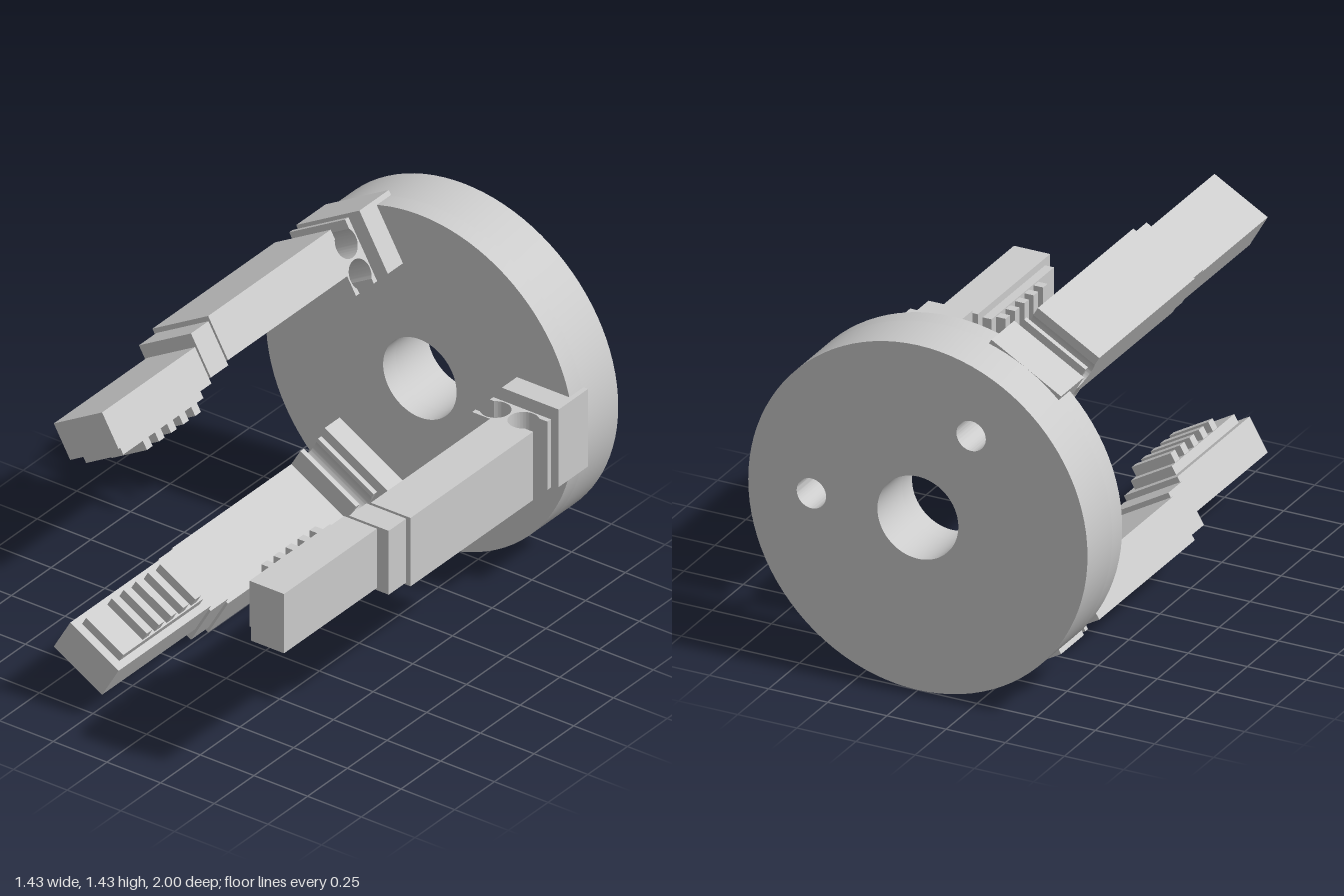
import * as THREE from 'three';
import { toCreasedNormals } from 'three/addons/utils/BufferGeometryUtils.js';

const R = 0.717;
const material = new THREE.MeshStandardMaterial({ color: 0xcccccc });

function add(parent, name, geometry) {
  const mesh = new THREE.Mesh(geometry, material);
  mesh.name = name;
  parent.add(mesh);
  return mesh;
}

// Box given by its x range, z range and half width in y
function block(parent, name, x0, x1, z0, z1, half) {
  const mesh = add(parent, name, new THREE.BoxGeometry(x1 - x0, half * 2, z1 - z0));
  mesh.position.set((x0 + x1) / 2, 0, (z0 + z1) / 2);
}

function extrude(shape, depth, curveSegments) {
  const geometry = new THREE.ExtrudeGeometry(shape, { depth, curveSegments, bevelEnabled: false });
  return toCreasedNormals(geometry, 0.5);
}

// Ring-shaped slice of the palm disc, with extra round holes [x, y, radius]
function discSlice(holes, z0, z1) {
  const shape = new THREE.Shape().absarc(0, 0, R, 0, Math.PI * 2);
  for (const [x, y, r] of holes) {
    shape.holes.push(new THREE.Path().absarc(x, y, r, 0, Math.PI * 2, true));
  }
  return extrude(shape, z1 - z0, 48).translate(0, 0, z0);
}

// Flexure hinge: two plates joined by a thin web between two round notches
function hingeGeometry() {
  const x0 = 0.447, x1 = 0.715, z0 = -0.578, z1 = -0.445;
  const c = (z0 + z1) / 2, r = 0.06, h = 0.045, a = Math.asin(h / r);
  const shape = new THREE.Shape();
  shape.moveTo(x0, z0);
  shape.lineTo(x1, z0);
  shape.lineTo(x1, c - h);
  shape.absarc(0.637, c, r, -a, a, true);
  shape.lineTo(x1, c + h);
  shape.lineTo(x1, z1);
  shape.lineTo(x0, z1);
  shape.lineTo(x0, c + h);
  shape.absarc(0.507, c, r, Math.PI - a, Math.PI + a, true);
  shape.lineTo(x0, c - h);
  shape.closePath();
  return extrude(shape, 0.3, 24).rotateX(Math.PI / 2).translate(0, 0.15, 0);
}

// One finger, placed along +x and reaching towards +z
function createFinger() {
  const finger = new THREE.Group();
  finger.name = 'finger';
  block(finger, 'fingerMount', 0.452, 0.717, -0.81, -0.625, 0.17);
  add(finger, 'flexureHinge', hingeGeometry());
  block(finger, 'lowerSegment', 0.53, 0.715, -0.445, 0.305, 0.15);
  block(finger, 'knuckle', 0.51, 0.695, 0.305, 0.415, 0.14);
  block(finger, 'fingertip', 0.487, 0.64, 0.415, 1, 0.13);
  block(finger, 'gripPad', 0.45, 0.487, 0.455, 0.96, 0.1);
  for (let i = 0; i < 5; i++) {
    const z = 0.492 + i * 0.076;
    block(finger, 'gripRib', 0.41, 0.45, z, z + 0.036, 0.095);
  }
  return finger;
}

export function createModel() {
  const model = new THREE.Group();
  model.name = 'threeFingerGripper';
  const body = new THREE.Group();
  body.position.y = R;
  model.add(body);

  // Palm disc with a through bore and two blind holes in the back
  const bore = [0, 0, 0.171];
  const blind = [0, 1].map((i) => {
    const angle = (i * Math.PI * 2) / 3;
    return [0.45 * Math.cos(angle), 0.45 * Math.sin(angle), 0.062];
  });
  add(body, 'palmFront', discSlice([bore], -0.8, -0.72));
  add(body, 'palmBack', discSlice([bore, ...blind], -1, -0.8));

  // Three fingers evenly spaced around the palm
  for (let i = 0; i < 3; i++) {
    const finger = createFinger();
    finger.rotation.z = (i * Math.PI * 2) / 3;
    body.add(finger);
  }
  return model;
}
